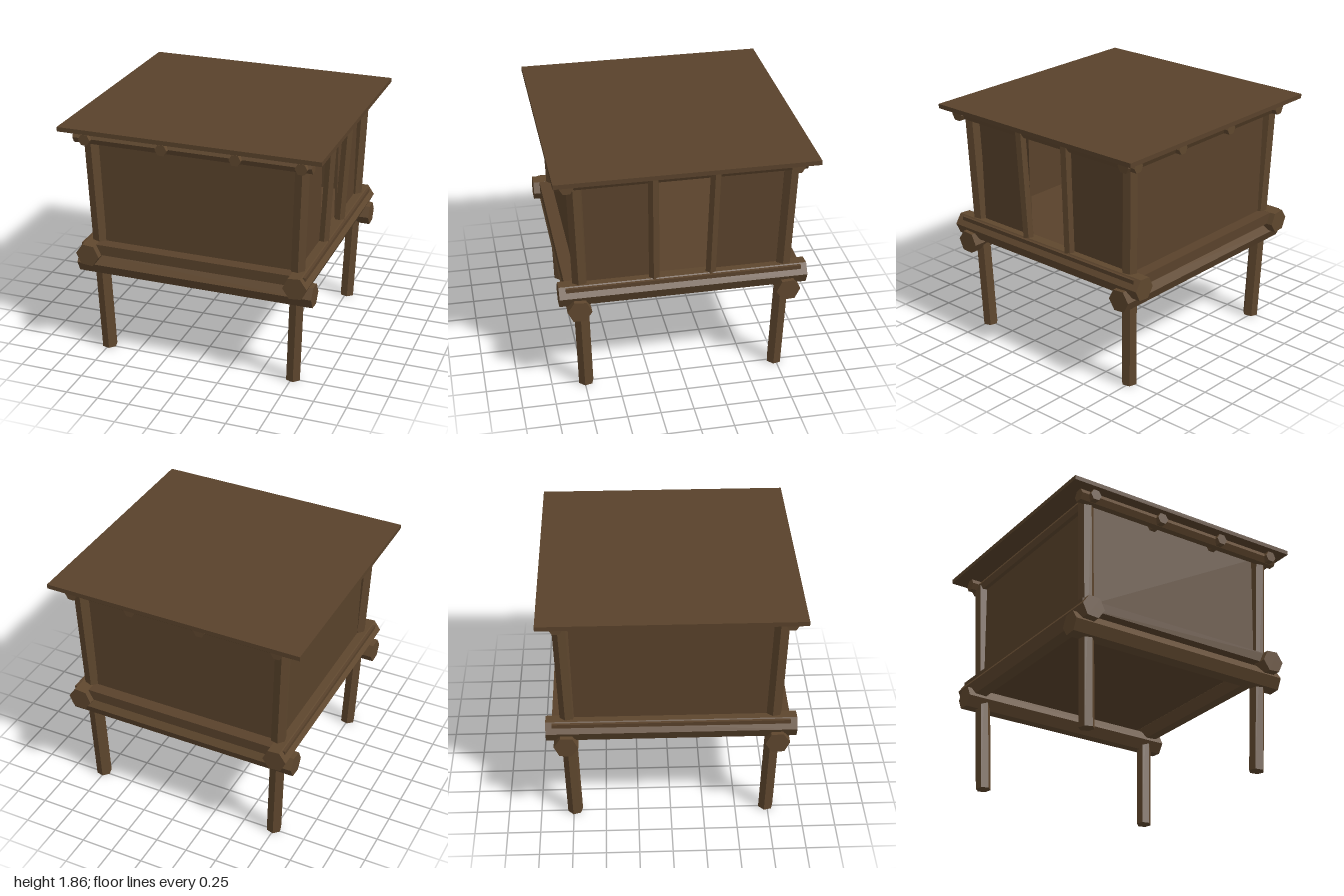
import * as THREE from 'three';

export function createModel() {
  const model = new THREE.Group();
  const logWood = new THREE.MeshStandardMaterial({ color: 0x5f472e });
  logWood.name = 'log wood';
  const plankWood = new THREE.MeshStandardMaterial({ color: 0x59422b });
  plankWood.name = 'plank wood';

  // Six-sided log from a to b; one of its ridges points along ridge
  function log(name, a, b, radius, ridge) {
    const start = new THREE.Vector3(...a), end = new THREE.Vector3(...b);
    const y = end.clone().sub(start);
    const length = y.length();
    y.normalize();
    const z = new THREE.Vector3(...ridge);
    z.addScaledVector(y, -z.dot(y)).normalize();
    const x = new THREE.Vector3().crossVectors(y, z);
    const geometry = new THREE.CylinderGeometry(radius, radius, length, 6).toNonIndexed();
    geometry.computeVertexNormals();
    const mesh = new THREE.Mesh(geometry, logWood);
    mesh.name = name;
    mesh.quaternion.setFromRotationMatrix(new THREE.Matrix4().makeBasis(x, y, z));
    mesh.position.copy(start).add(end).multiplyScalar(0.5);
    model.add(mesh);
  }

  // Flat panel given by its lower and upper corners
  function panel(name, min, max) {
    const size = max.map((v, i) => v - min[i]);
    const mesh = new THREE.Mesh(new THREE.BoxGeometry(...size), plankWood);
    mesh.name = name;
    mesh.position.set(...max.map((v, i) => (v + min[i]) / 2));
    model.add(mesh);
  }

  const X = [1, 0, 0], Z = [0, 0, 1], turned = [1, 0, 0.27];

  // Corner posts, leaning slightly outward
  for (const sx of [-1, 1]) {
    for (const sz of [-1, 1]) {
      log('cornerPost', [sx * 0.752 + 0.007, 0, sz * 0.738],
        [sx * 0.811 + 0.006, 1.78, sz * 0.792], 0.059, turned);
    }
  }

  // Heavy floor beams, the side pair resting on the front and back pair
  for (const z of [0.787, -0.78]) log('crossBeam', [-0.925, 0.745, z], [0.925, 0.745, z], 0.091, [0, 0.05, z]);
  for (const sx of [-1, 1]) {
    log('sideBeam', [sx * 0.814, 0.847, -0.927], [sx * 0.814, 0.847, 0.93], 0.092, [1, 0.08 * sx, 0]);
  }

  // Roof beams and rafters
  for (const z of [0.852, -0.814]) log('roofBeam', [-0.905, 1.773, z], [0.915, 1.773, z], 0.051, Z);
  for (const x of [-0.8, -0.2, 0.36, 0.845]) log('rafter', [x, 1.772, -0.895], [x, 1.772, 0.93], 0.046, X);

  // Door posts
  log('doorPost', [0.82, 0.922, 0.217], [0.866, 1.825, 0.231], 0.043, turned);
  log('doorPost', [0.82, 0.922, -0.207], [0.866, 1.825, -0.223], 0.043, turned);

  // Floor slab overhanging the front and back walls, and the roof slab
  panel('floor', [-0.88, 0.842, -0.88], [0.88, 0.922, 0.88]);
  panel('roof', [-1, 1.824, -0.956], [1, 1.858, 0.956]);

  // Walls, with a doorway on the +x side
  const low = 0.922, high = 1.8;
  panel('frontWall', [-0.79, low, 0.768], [0.79, high, 0.784]);
  panel('backWall', [-0.79, low, -0.784], [0.79, high, -0.768]);
  panel('rightWall', [-0.79, low, -0.768], [-0.774, high, 0.768]);
  panel('doorSideWall', [0.774, low, 0.22], [0.79, high, 0.768]);
  panel('doorSideWall', [0.774, low, -0.768], [0.79, high, -0.21]);

  return model;
}
